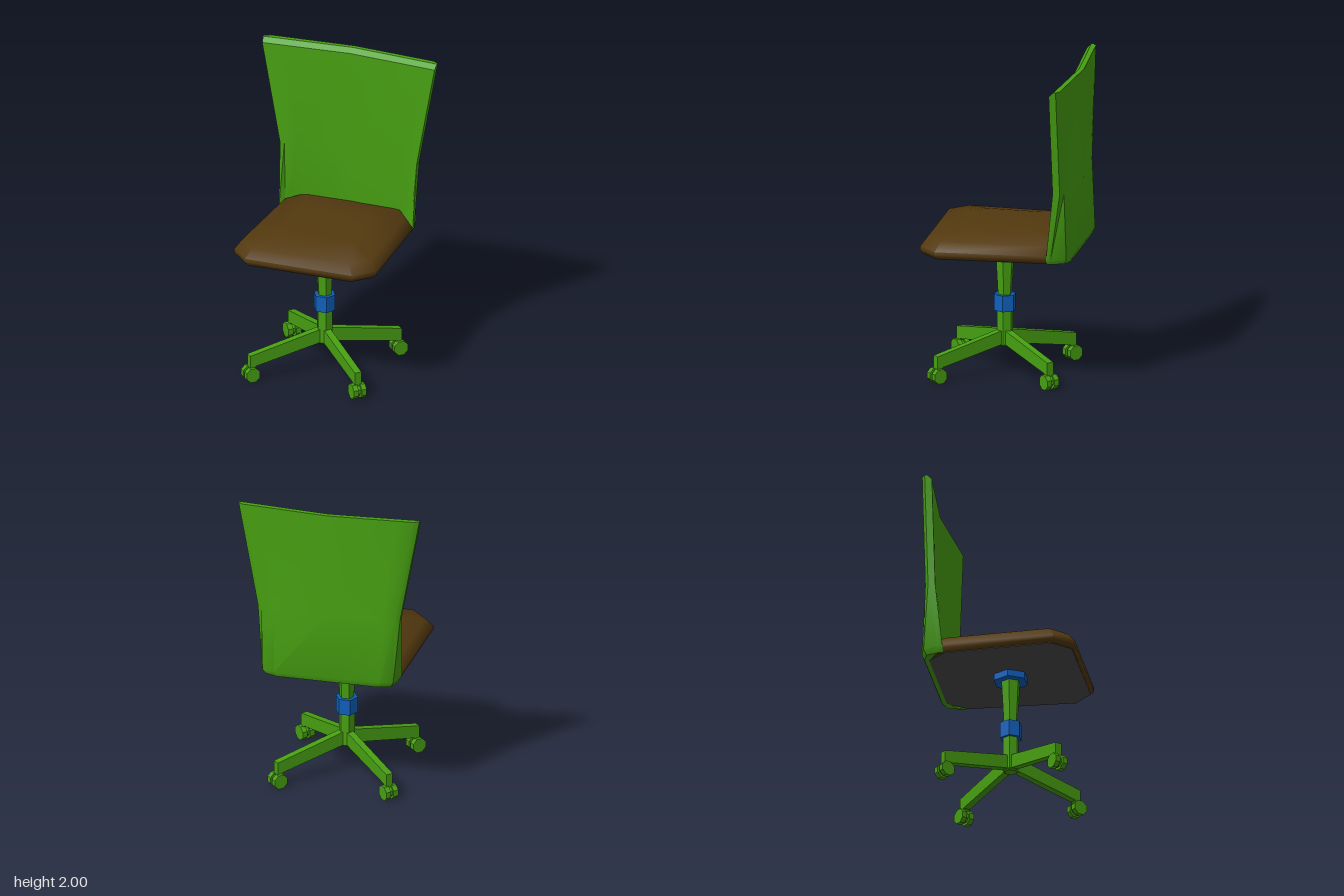
import * as THREE from 'three';
import { toCreasedNormals } from 'three/addons/utils/BufferGeometryUtils.js';

const mat = (color, flatShading = false) => new THREE.MeshStandardMaterial({ color, flatShading });
const green = mat(0x47a012), greenFlat = mat(0x47a012, true), blue = mat(0x1060bb, true);
const brown = mat(0x53390f), grey = mat(0x4a4a4a);

function add(parent, name, geometry, material) {
  const mesh = new THREE.Mesh(geometry, material);
  mesh.name = name;
  parent.add(mesh);
  return mesh;
}

// Skins equal-length rings (counterclockwise from above, bottom to top) and caps both ends
function loft(rings, crease) {
  const n = rings[0].length, top = (rings.length - 1) * n, index = [];
  const quad = (a, b, c, d) => index.push(a, b, c, a, c, d);
  for (let j = 0; j < rings.length - 1; j++) {
    for (let i = 0; i < n; i++) {
      const k = (i + 1) % n;
      quad(j * n + i, j * n + k, (j + 1) * n + k, (j + 1) * n + i);
    }
  }
  for (let i = 0; i < n / 2 - 1; i++) {
    quad(top + i, top + i + 1, top + n - 2 - i, top + n - 1 - i);
    quad(n - 1 - i, n - 2 - i, i + 1, i);
  }
  const g = new THREE.BufferGeometry();
  g.setAttribute('position', new THREE.Float32BufferAttribute(rings.flat(2), 3));
  g.setIndex(index);
  return toCreasedNormals(g, crease);
}

// Seat outline at one height, with scales for width, front and back
function seatRing(y, sx, front, back) {
  const half = [[0.36, 0.487], [0.477, 0.37], [0.445, -0.34], [0.34, -0.46]];
  const right = half.map(([x, z]) => [x * sx, y, z * (z > 0 ? front : back)]);
  return [...right, ...right.map(([x, , z]) => [-x, y, z]).reverse()];
}

// Backrest section: half width, then front and back depths from the middle to the side
function backRing([y, hw, front, back]) {
  const u = [0, 0.76, 0.94, 1];
  const side = (zs, s) => zs.map((z, i) => [
    s * hw * u[i], y, z]);
  const row = (zs) => [...side(zs, -1).reverse(), ...side(zs, 1).slice(1)];
  return [...row(front), ...row(back).reverse()];
}

// Six-sided column piece with a flat face to the front
function hexPiece(parent, name, y0, y1, r0, r1, material) {
  const g = new THREE.CylinderGeometry(r1, r0, y1 - y0, 6, 1, false, Math.PI / 6);
  add(parent, name, g, material).position.y = (y0 + y1) / 2;
}

export function createModel() {
  const chair = new THREE.Group();
  chair.name = 'swivelChair';

  // Seat cushion with a domed top, and its flat underside panel
  add(chair, 'seatCushion', loft([
    seatRing(0.836, 0.96, 0.965, 0.98),
    seatRing(0.86, 1, 1, 1),
    seatRing(0.885, 1, 1, 1),
    seatRing(0.945, 0.91, 0.91, 0.98),
    seatRing(0.985, 0.52, 0.52, 0.5),
  ], 0.95), brown);
  add(chair, 'seatUnderside', loft([
    seatRing(0.833, 0.955, 0.96, 0.97),
    seatRing(0.838, 0.955, 0.96, 0.97),
  ], 0.5), grey);

  // Backrest wrapping round the seat at the bottom and flaring towards the top
  const upperFront = [-0.43, -0.396, -0.388, -0.385];
  const upperBack = [-0.49, -0.459, -0.452, -0.43];
  add(chair, 'backrest', loft([
    [0.835, 0.43, [-0.44, -0.44, -0.39, -0.34], [-0.475, -0.475, -0.45, -0.365]],
    [0.87, 0.45, [-0.44, -0.43, -0.385, -0.34], [-0.49, -0.49, -0.465, -0.37]],
    [1.3, 0.46, upperFront, upperBack],
    [1.97, 0.58, upperFront, upperBack],
    [2.0, 0.585, upperFront.map((z) => z - 0.03), upperBack],
  ].map(backRing), 0.6), green);

  // Column and base share one centre line
  const stand = new THREE.Group();
  stand.name = 'stand';
  stand.position.set(-0.004, 0, 0.018);
  chair.add(stand);
  hexPiece(stand, 'mountingPlate', 0.79, 0.835, 0.113, 0.113, blue);
  hexPiece(stand, 'upperColumn', 0.49, 0.8, 0.045, 0.062, greenFlat);
  hexPiece(stand, 'heightSleeve', 0.4, 0.505, 0.071, 0.071, blue);
  hexPiece(stand, 'lowerColumn', 0.18, 0.41, 0.052, 0.052, greenFlat);
  hexPiece(stand, 'columnFoot', 0.17, 0.18, 0.04, 0.052, greenFlat);

  // Four diagonal legs, each with a twin-wheel caster
  const profile = new THREE.Shape([[0, 0.275], [0.05, 0.27], [0.52, 0.175], [0.52, 0.085],
    [0.49, 0.085], [0.48, 0.1], [0.05, 0.18], [0, 0.185]].map((p) => new THREE.Vector2(...p)));
  const legGeo = new THREE.ExtrudeGeometry(profile, { depth: 0.046, bevelEnabled: false });
  legGeo.translate(0, 0, -0.023);
  const wheelGeo = new THREE.CylinderGeometry(0.05, 0.05, 0.034, 8, 1, false, Math.PI / 8);
  const hubGeo = new THREE.CylinderGeometry(0.036, 0.036, 0.03, 8, 1, false, Math.PI / 8);
  for (const g of [wheelGeo, hubGeo]) g.rotateX(Math.PI / 2);
  for (let k = 0; k < 4; k++) {
    const leg = new THREE.Group();
    leg.name = 'leg' + (k + 1);
    leg.rotation.y = Math.PI / 4 + k * Math.PI / 2;
    stand.add(leg);
    add(leg, 'legBar', legGeo, greenFlat);
    add(leg, 'casterHub', hubGeo, greenFlat).position.set(0.508, 0.05, 0);
    for (const s of [-1, 1]) {
      add(leg, 'casterWheel', wheelGeo, greenFlat).position.set(0.508, 0.048, s * 0.027);
    }
  }
  return chair;
}
